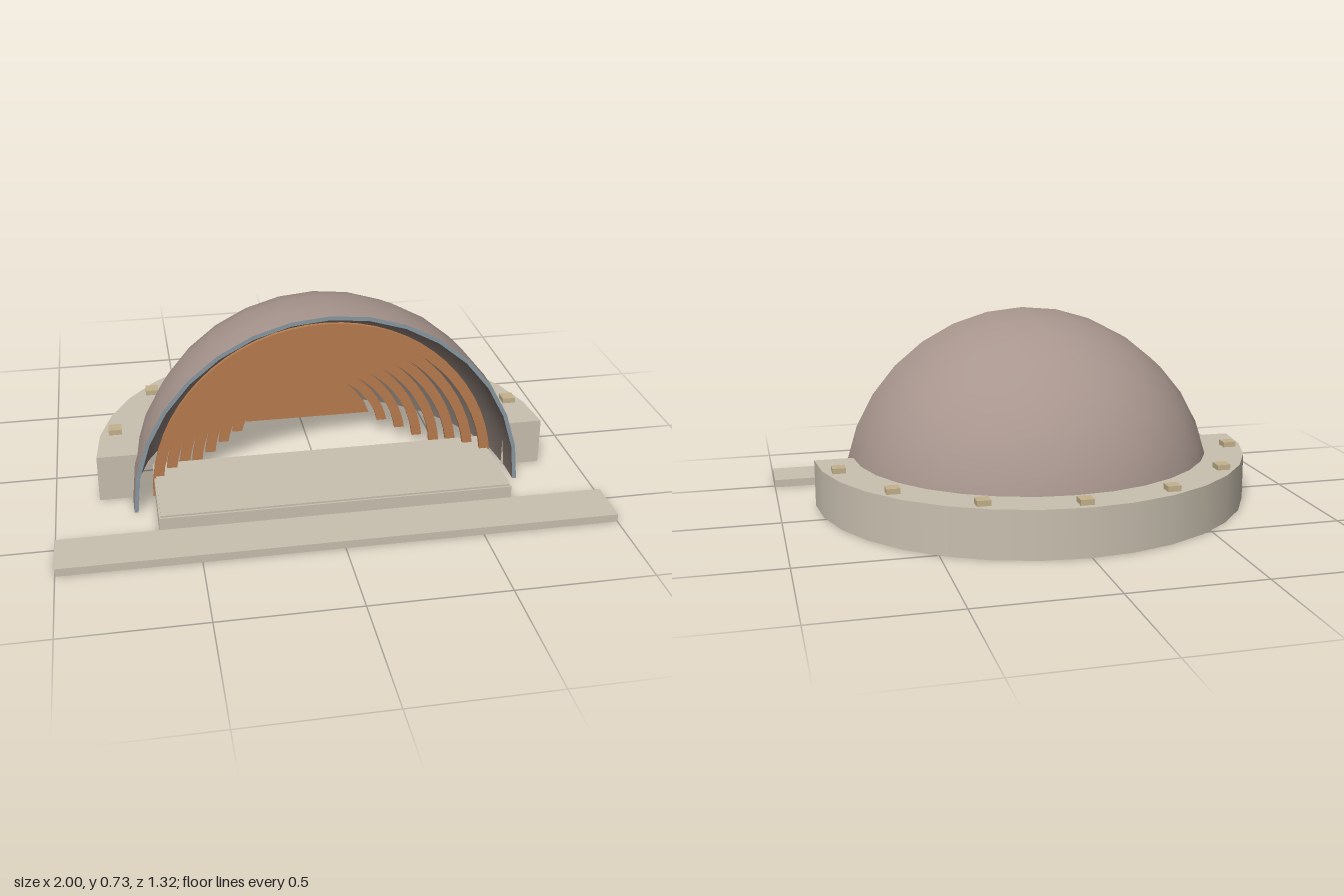
import * as THREE from 'three';

const mat = (name, color, side = THREE.DoubleSide) => {
  const m = new THREE.MeshStandardMaterial({ color, side });
  m.name = name;
  return m;
};

export function createModel() {
  const model = new THREE.Group();
  model.name = 'bandShell';
  const concrete = mat('concrete', 0xc9c0b0);
  const shellOuter = mat('shell outside', 0xa8968e);
  const shellInner = mat('shell inside', 0x80736c);
  const edge = mat('shell edge', 0x8a98a2);
  const wood = mat('wood', 0xb87d4e);
  const sandstone = mat('sandstone', 0xc3b28c);

  const add = (name, geo, material, x = 0, y = 0, z = 0, parent = model) => {
    const mesh = new THREE.Mesh(geo, material);
    mesh.name = name;
    mesh.position.set(x, y, z);
    parent.add(mesh);
    return mesh;
  };

  // Box without its underside
  const openBox = (w, h, d) => {
    const g = new THREE.BoxGeometry(w, h, d);
    const index = Array.from(g.index.array);
    index.splice(18, 6);
    g.setIndex(index);
    g.clearGroups();
    return g;
  };

  const CX = 0.01, CZ = 0.2, SEG = 16;

  // Front step and stage, both hollow below
  add('frontStep', openBox(2, 0.03, 0.18), concrete, 0, 0.015, 0.57);
  add('stage', openBox(1.29, 0.076, 0.39), concrete, CX, 0.038, 0.285);
  add('stageTop', openBox(1.276, 0.007, 0.376), concrete, CX, 0.0795, 0.285);

  // Quarter-sphere shell with a short straight collar at its mouth
  const shell = (r) => {
    const profile = [];
    for (let i = 0; i <= 8; i++) {
      const a = (i / 8) * Math.PI / 2;
      profile.push(new THREE.Vector2(Math.max(r * Math.sin(a), 1e-4), -r * Math.cos(a)));
    }
    profile.push(new THREE.Vector2(r, 0.1));
    return new THREE.LatheGeometry(profile, SEG, Math.PI / 2, Math.PI).rotateX(Math.PI / 2);
  };
  const R = 0.727, RI = 0.712;
  add('shellOutside', shell(R), shellOuter, CX, 0, CZ);
  add('shellInside', shell(RI), shellInner, CX, 0, CZ);
  add('shellFrontEdge', new THREE.RingGeometry(RI, R, SEG, 1, 0, Math.PI), edge, CX, 0, CZ + 0.1);
  add('shellBottomEdge',
    new THREE.RingGeometry(RI, R, SEG, 1, 0, Math.PI).rotateX(-Math.PI / 2), edge, CX, 0.001, CZ);

  // Acoustic ribs stepping back to a solid panel
  const ribs = new THREE.Group();
  ribs.name = 'acousticRibs';
  model.add(ribs);
  const COUNT = 8;
  for (let i = 0; i < COUNT; i++) {
    const last = i === COUNT - 1;
    const outer = 0.652 - 0.052 * i - 0.0005 * i * i;
    const inner = outer - 0.038;
    const base = 0.011 * i;
    const a = Math.asin(base / outer), b = Math.asin(base / inner);
    const s = new THREE.Shape();
    s.absarc(0, 0, outer, a, Math.PI - a, false);
    if (!last) s.absarc(0, 0, inner, Math.PI - b, b, true);
    s.closePath();
    const g = new THREE.ExtrudeGeometry(s, { depth: 0.015, bevelEnabled: false, curveSegments: SEG });
    add(last ? 'backPanel' : 'rib', g, wood, CX, 0, 0.18 - 0.055 * i, ribs);
  }

  // Curved wall around the back, open below
  const wall = new THREE.Group();
  wall.name = 'backWall';
  wall.position.set(CX, 0, 0.19);
  model.add(wall);
  const WO = 0.85, WI = 0.7, H = 0.18;
  add('wallOutside',
    new THREE.CylinderGeometry(WO, WO, H, SEG, 1, true, Math.PI / 2, Math.PI), concrete, 0, H / 2, 0, wall);
  add('wallTop',
    new THREE.RingGeometry(WI, WO, SEG, 1, 0, Math.PI).rotateX(-Math.PI / 2), concrete, 0, H, 0, wall);
  for (const side of [-1, 1]) {
    add('wallEnd', new THREE.PlaneGeometry(WO - WI, H), concrete, side * (WO + WI) / 2, H / 2, 0, wall);
  }

  // Small square blocks along the wall top
  for (let i = -3; i <= 3; i++) {
    const a = THREE.MathUtils.degToRad(25.4 * i);
    add('wallBlock', new THREE.BoxGeometry(0.05, 0.02, 0.05), sandstone,
      0.798 * Math.sin(a), H + 0.01, -0.798 * Math.cos(a), wall);
  }

  return model;
}
